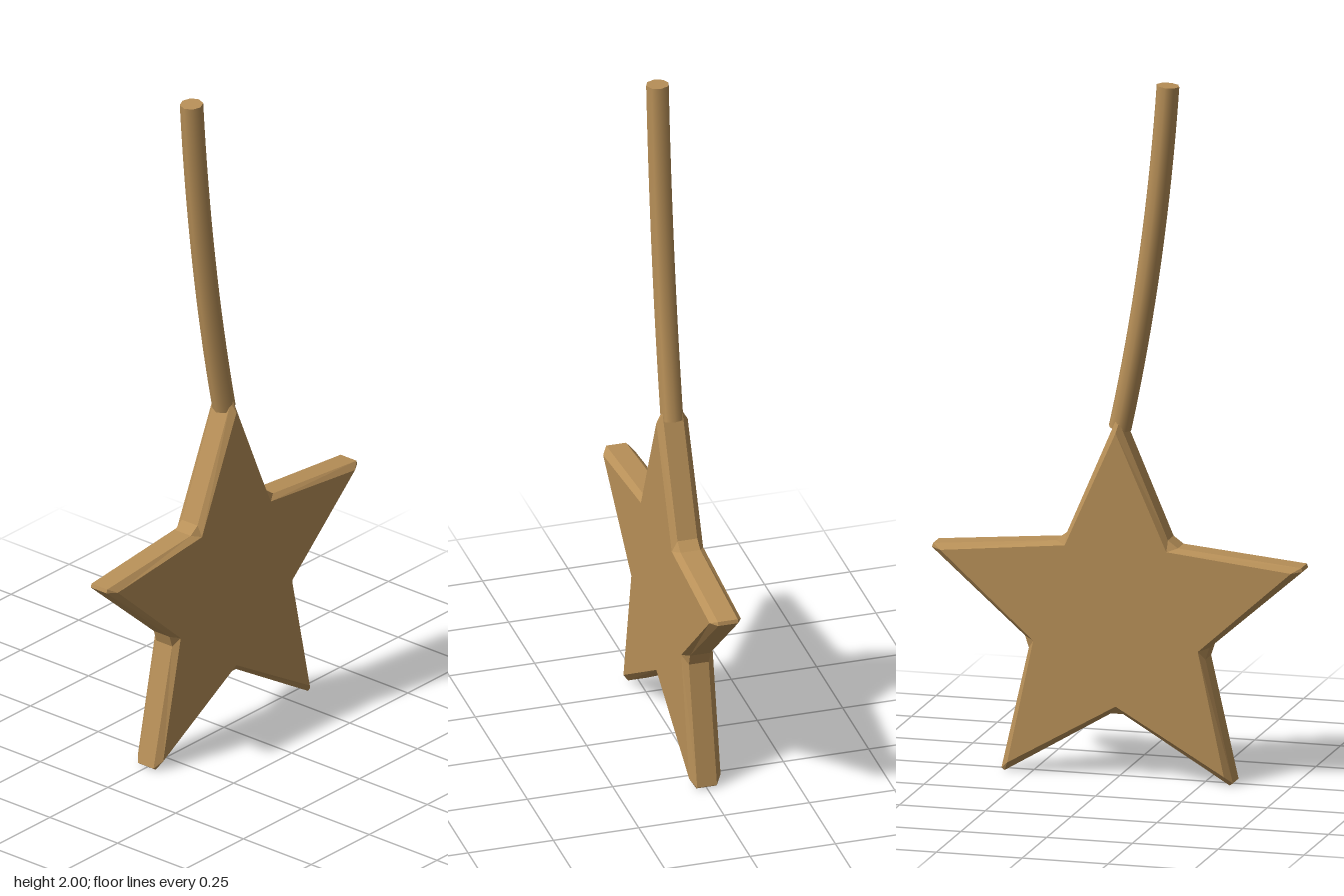
import * as THREE from 'three';

const THICK = 0.046, RIM = 0.029, CENTRE_Y = 0.458;

// Five-pointed outline: every corner is a pair of points, so corners can be blunt
function starRing(x, tipR, tipHalf, valleyR, valleyHalf) {
  const ring = [];
  for (let k = 0; k < 10; k++) {
    const valley = k % 2 === 1;
    const r = valley ? valleyR : tipR;
    for (const side of [-1, 1]) {
      const a = k * Math.PI / 5 + side * (valley ? valleyHalf : tipHalf);
      ring.push(new THREE.Vector3(x, CENTRE_Y + r * Math.cos(a), r * Math.sin(a)));
    }
  }
  return ring;
}

// Skin the rings with flat-shaded triangles, skipping collapsed ones
function loft(rings) {
  const pos = [];
  const tri = (a, b, c) => {
    const area = b.clone().sub(a).cross(c.clone().sub(a)).length();
    if (area > 1e-9) for (const p of [a, b, c]) pos.push(p.x, p.y, p.z);
  };
  for (let i = 0; i < rings.length - 1; i++) {
    const n = rings[i].length;
    for (let j = 0; j < n; j++) {
      const k = (j + 1) % n;
      tri(rings[i][j], rings[i][k], rings[i + 1][k]);
      tri(rings[i][j], rings[i + 1][k], rings[i + 1][j]);
    }
  }
  const geo = new THREE.BufferGeometry();
  geo.setAttribute('position', new THREE.Float32BufferAttribute(pos, 3));
  geo.computeVertexNormals();
  return geo;
}

export function createModel() {
  const model = new THREE.Group();
  model.name = 'starOnStem';
  const wood = new THREE.MeshStandardMaterial({ color: 0xb89058 });
  wood.name = 'tan wood';

  const add = (name, geo, parent = model) => {
    const mesh = new THREE.Mesh(geo, wood);
    mesh.name = name;
    parent.add(mesh);
    return mesh;
  };

  // Bevelled star standing in the YZ plane
  const centre = x => starRing(x, 0, 0, 0, 0);
  const face = x => starRing(x, 0.537, 0, 0.252, 0);
  const rim = x => starRing(x, 0.566, 0.01, 0.277, 0.065);
  add('star', loft([
    centre(-THICK), face(-THICK), rim(-RIM),
    rim(RIM), face(THICK), centre(THICK),
  ]));

  // Curved eight-sided stem with end caps
  const stem = new THREE.Group();
  stem.name = 'stem';
  model.add(stem);
  const R = 0.033, SIDES = 8, STEPS = 16;
  const curve = new THREE.QuadraticBezierCurve3(
    new THREE.Vector3(0, 1.0, 0),
    new THREE.Vector3(0, 1.47, 0.103),
    new THREE.Vector3(0, 1.998, 0.14),
  );
  const tube = new THREE.TubeGeometry(curve, STEPS, R, SIDES, false);
  add('stemRod', tube, stem);
  for (const end of [0, 1]) {
    const i = end * STEPS;
    const N = tube.normals[i], B = tube.binormals[i], T = tube.tangents[i];
    const basis = end
      ? new THREE.Matrix4().makeBasis(N, B, T)
      : new THREE.Matrix4().makeBasis(B, N, T.clone().negate());
    const cap = new THREE.CircleGeometry(R, SIDES).applyMatrix4(basis);
    add(end ? 'stemTopCap' : 'stemBottomCap', cap, stem).position.copy(curve.getPointAt(end));
  }
  return model;
}
